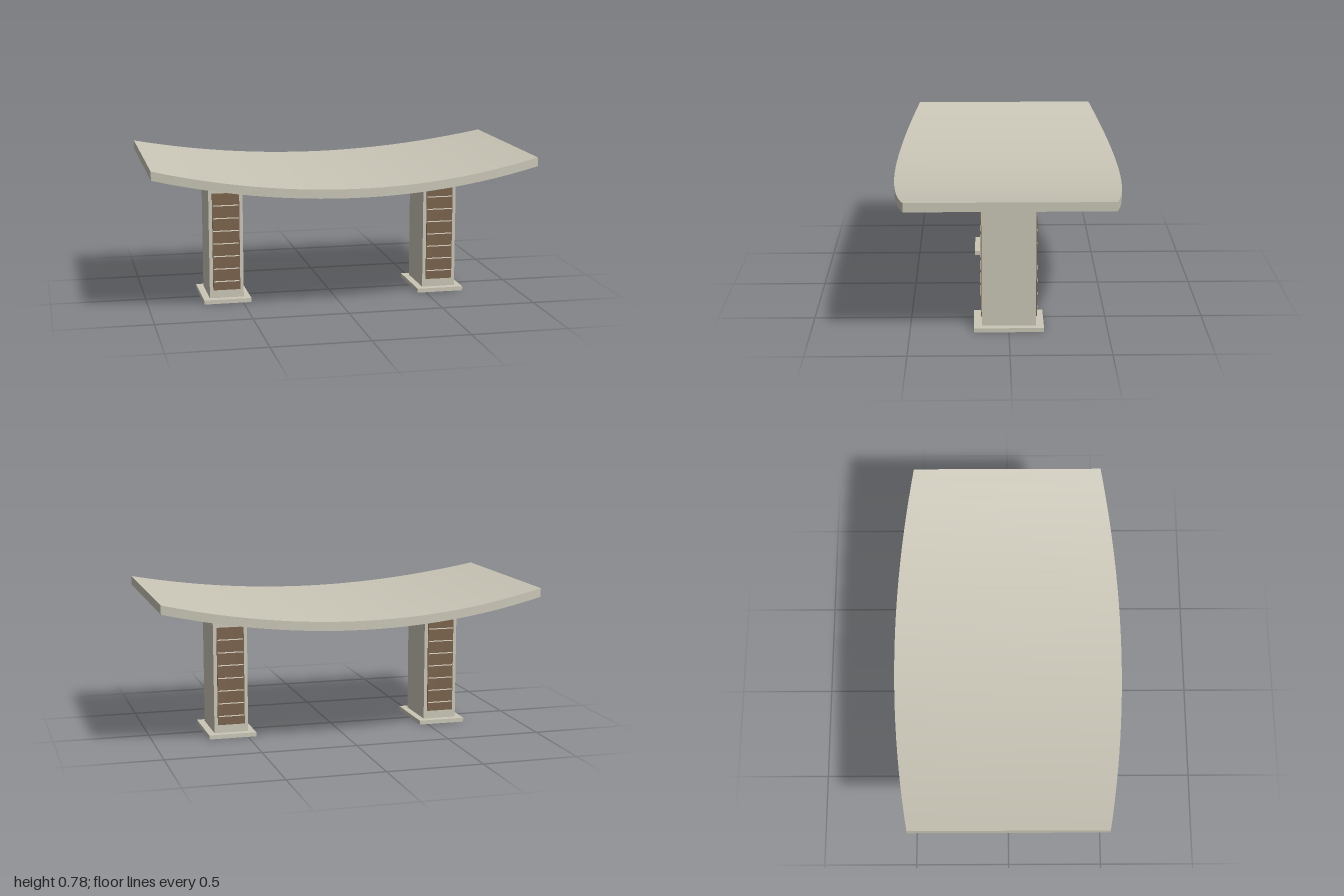
import * as THREE from 'three';

const material = (name, color) => {
  const m = new THREE.MeshStandardMaterial({ color });
  m.name = name;
  return m;
};

export function createModel() {
  const concrete = material('concrete', 0xcbc7b8);
  const wood = material('wood', 0x7a624b);
  const cream = material('cream', 0xe2dccb);
  const green = material('green', 0x4f9f80);
  const yellow = material('yellow', 0xd6b055);
  const blue = material('blue', 0x3b7694);
  const red = material('red', 0xc94f4b);

  const model = new THREE.Group();
  model.name = 'shelter';

  const box = (parent, name, mat, size, pos) => {
    const mesh = new THREE.Mesh(new THREE.BoxGeometry(...size), mat);
    mesh.name = name;
    mesh.position.set(...pos);
    parent.add(mesh);
    return mesh;
  };

  // Sagging roof slab: bent upwards and narrowed towards both ends
  const thickness = 0.046;
  const underside = (x) => 0.623 + 0.11 * x * x;
  const slab = new THREE.BoxGeometry(2, thickness, 1.19, 24, 1, 1);
  const p = slab.attributes.position;
  for (let i = 0; i < p.count; i++) {
    const x = p.getX(i);
    p.setY(i, p.getY(i) + thickness / 2 + underside(x));
    p.setZ(i, Math.sign(p.getZ(i)) * (0.595 - 0.09 * x * x));
  }
  slab.computeVertexNormals();
  const roof = new THREE.Mesh(slab, concrete);
  roof.name = 'roof';
  model.add(roof);

  // Coloured stripes under the roof, from the middle outwards
  const colors = [red, blue, yellow, green];
  const widths = [0.078, 0.078, 0.078, 0.078, 0.015, 0.03, 0.04, 0.055];
  for (const side of [-1, 1]) {
    widths.forEach((w, i) => {
      const x = side * 0.108 * (i + 1);
      const stripe = box(model, 'ceilingStripe', colors[i % 4], [w, 0.009, 0.84],
        [x, underside(x) - 0.004, 0]);
      stripe.rotation.z = Math.atan(0.22 * x);
    });
  }

  // Pillars with a foot plate and slatted panels on front and back
  for (const side of [-1, 1]) {
    const pillar = new THREE.Group();
    pillar.name = side > 0 ? 'leftPillar' : 'rightPillar';
    pillar.position.x = side * 0.582;
    box(pillar, 'footPlate', concrete, [0.252, 0.022, 0.354], [0, 0.011, 0]);
    box(pillar, 'shaft', concrete, [0.181, 0.632, 0.274], [0, 0.338, 0]);
    for (const face of [-1, 1]) {
      box(pillar, 'woodPanel', wood, [0.144, 0.52, 0.006], [0, 0.325, face * 0.139]);
      for (let i = 0; i < 7; i++) {
        box(pillar, 'panelLine', cream, [0.136, 0.005, 0.004],
          [0, 0.112 + i * 0.068, face * 0.1425]);
      }
    }
    model.add(pillar);
  }
  return model;
}
